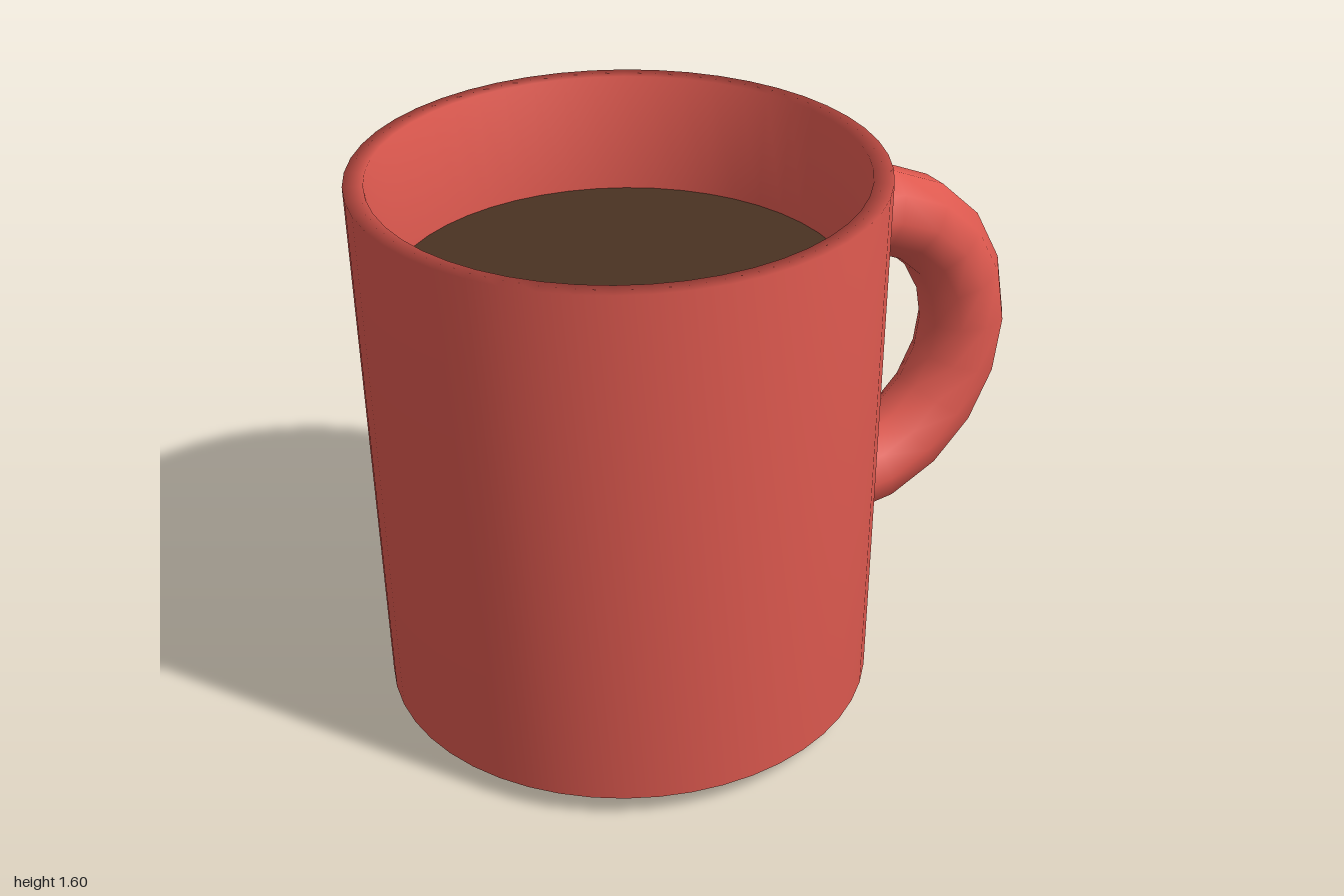
import * as THREE from 'three';

const BODY_X = -0.28;

// Handle centreline: a half ring whose ends sink slightly into the cup wall
class HandleCurve extends THREE.Curve {
  getPoint(t, target = new THREE.Vector3()) {
    const angle = (t - 0.5) * THREE.MathUtils.degToRad(187);
    return target.set(0.441 + 0.435 * Math.cos(angle), 0.872 + 0.435 * Math.sin(angle), 0);
  }
}

export function createModel() {
  const ceramic = new THREE.MeshStandardMaterial({ color: 0xe05a50 });
  ceramic.name = 'red ceramic';
  const coffee = new THREE.MeshStandardMaterial({ color: 0x4a3222 });
  coffee.name = 'dark coffee';

  const group = new THREE.Group();
  group.name = 'mug';
  const add = (name, geometry, material) => {
    const mesh = new THREE.Mesh(geometry, material);
    mesh.name = name;
    group.add(mesh);
    return mesh;
  };

  // Cup wall: bevelled base, tapered outside, rim, tapered inside and floor
  const profile = [
    [0, 0], [0.61, 0], [0.692, 0.06], [0.722, 1.595],
    [0.668, 1.595], [0.635, 1.26], [0.62, 0.12], [0, 0.12],
  ].map(([r, y]) => new THREE.Vector2(r, y));
  add('cup', new THREE.LatheGeometry(profile, 48), ceramic).position.x = BODY_X;

  // Drink surface
  const surface = new THREE.CircleGeometry(0.637, 48).rotateX(-Math.PI / 2);
  add('coffeeSurface', surface, coffee).position.set(BODY_X, 1.26, 0);

  // Handle on the model's left
  add('handle', new THREE.TubeGeometry(new HandleCurve(), 10, 0.13, 10, false), ceramic);

  return group;
}
